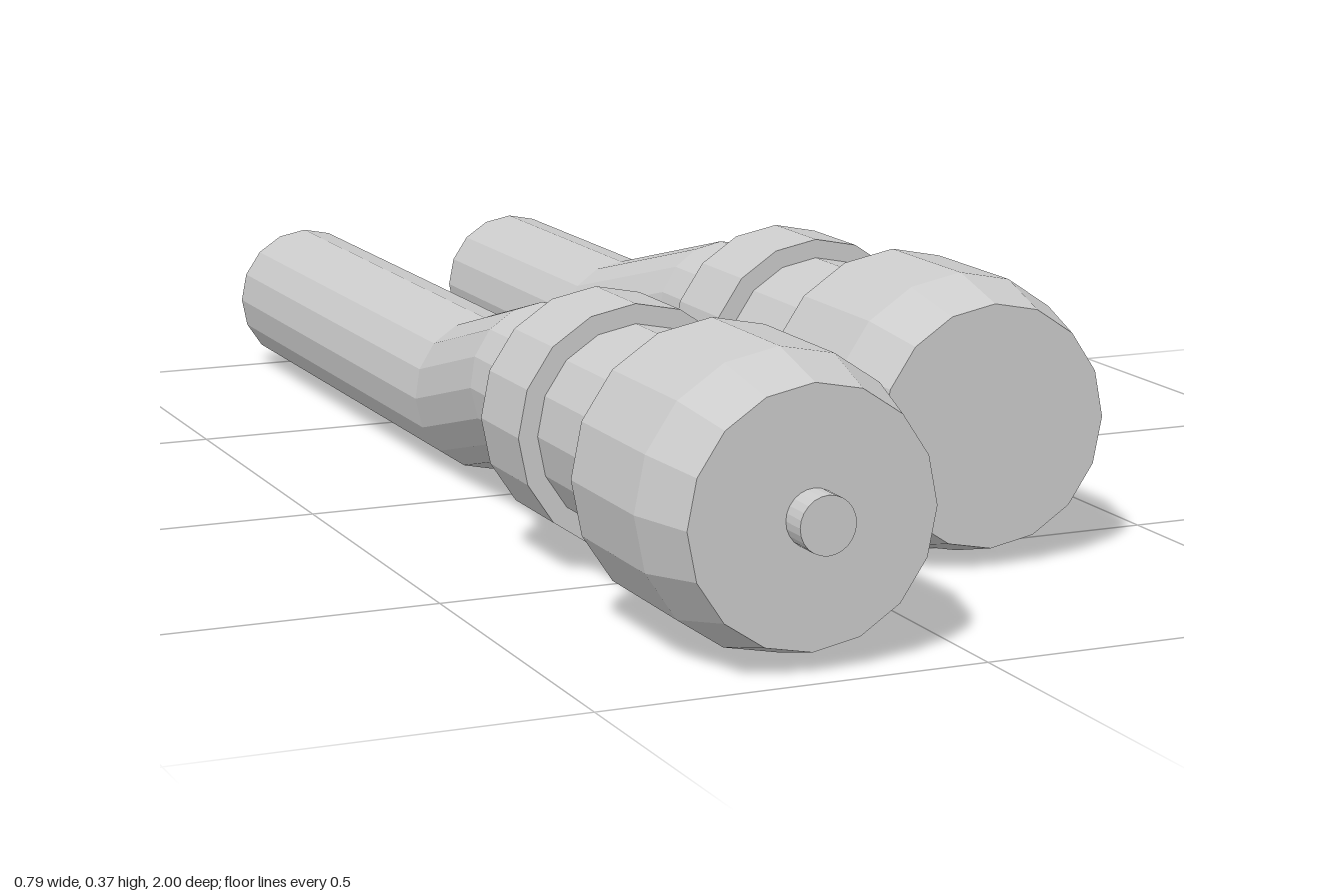
import * as THREE from 'three';

const SIDES = 16;
const AXIS_X = 0.21, AXIS_Y = 0.188;   // plug axis
const REAR_X = 0.179, REAR_Y = 0.11;   // cable axis behind the bend
const CABLE_R = 0.108;

const material = new THREE.MeshStandardMaterial({ color: 0xcccccc, flatShading: true });

// Turned solid along z from [radius, z] pairs, listed back to front
function turned(name, profile) {
  const points = profile.map(([r, z]) => new THREE.Vector2(r, z));
  const geometry = new THREE.LatheGeometry(points, SIDES).rotateX(Math.PI / 2);
  const mesh = new THREE.Mesh(geometry, material);
  mesh.name = name;
  return mesh;
}

// Cable with a mitred double bend down to the ground; coordinates relative to the plug axis
function makeCable(front, bendFront, bendRear, rear, dx, dy) {
  const cable = turned('cable', [[0, rear], [CABLE_R, rear], [CABLE_R, bendRear], [CABLE_R, bendFront], [CABLE_R, front], [0, front]]);
  const pos = cable.geometry.attributes.position;
  const length = bendFront - bendRear;
  for (let i = 0; i < pos.count; i++) {
    const x = pos.getX(i), y = pos.getY(i), z = pos.getZ(i);
    const atBend = z < bendFront + 0.001 && z > bendRear - 0.001;
    const mitre = atBend ? (x * dx + y * dy) / (2 * length) : 0;
    const lowered = z < bendRear + 0.001;
    pos.setXYZ(i, x + (lowered ? dx : 0), y + (lowered ? dy : 0), z + mitre);
  }
  cable.geometry.computeVertexNormals();
  return cable;
}

// One plug and its cable; side is +1 or -1, tip is the z of the plug's front face
function makeConnector(name, side, tip) {
  const group = new THREE.Group();
  group.name = name;
  group.position.set(side * AXIS_X, AXIS_Y, 0);
  group.add(
    turned('plugHead', [[0, tip - 0.287], [0.185, tip - 0.287], [0.185, tip - 0.095], [0.16, tip], [0, tip]]),
    turned('plugNeck', [[0, tip - 0.53], [0.135, tip - 0.53], [0.135, tip - 0.28], [0, tip - 0.28]]),
    turned('collar', [[0, tip - 0.652], [0.161, tip - 0.652], [0.161, tip - 0.52], [0, tip - 0.52]]),
    turned('strainRelief', [[0, tip - 0.745], [0.11, tip - 0.745], [0.136, tip - 0.65], [0, tip - 0.65]]),
    makeCable(tip - 0.735, tip - 0.825, tip - 1.13, -1, side * (REAR_X - AXIS_X), REAR_Y - AXIS_Y)
  );
  return group;
}

export function createModel() {
  const model = new THREE.Group();
  model.name = 'cablePair';
  const left = makeConnector('leftConnector', 1, 0.62);
  const right = makeConnector('rightConnector', -1, 0.962);

  // Contact pin, only on the longer connector
  const pinGeometry = new THREE.CylinderGeometry(0.036, 0.036, 0.06, 24).rotateX(Math.PI / 2);
  const pin = new THREE.Mesh(pinGeometry, material);
  pin.name = 'contactPin';
  pin.position.z = 0.97;
  right.add(pin);

  model.add(left, right);
  return model;
}
